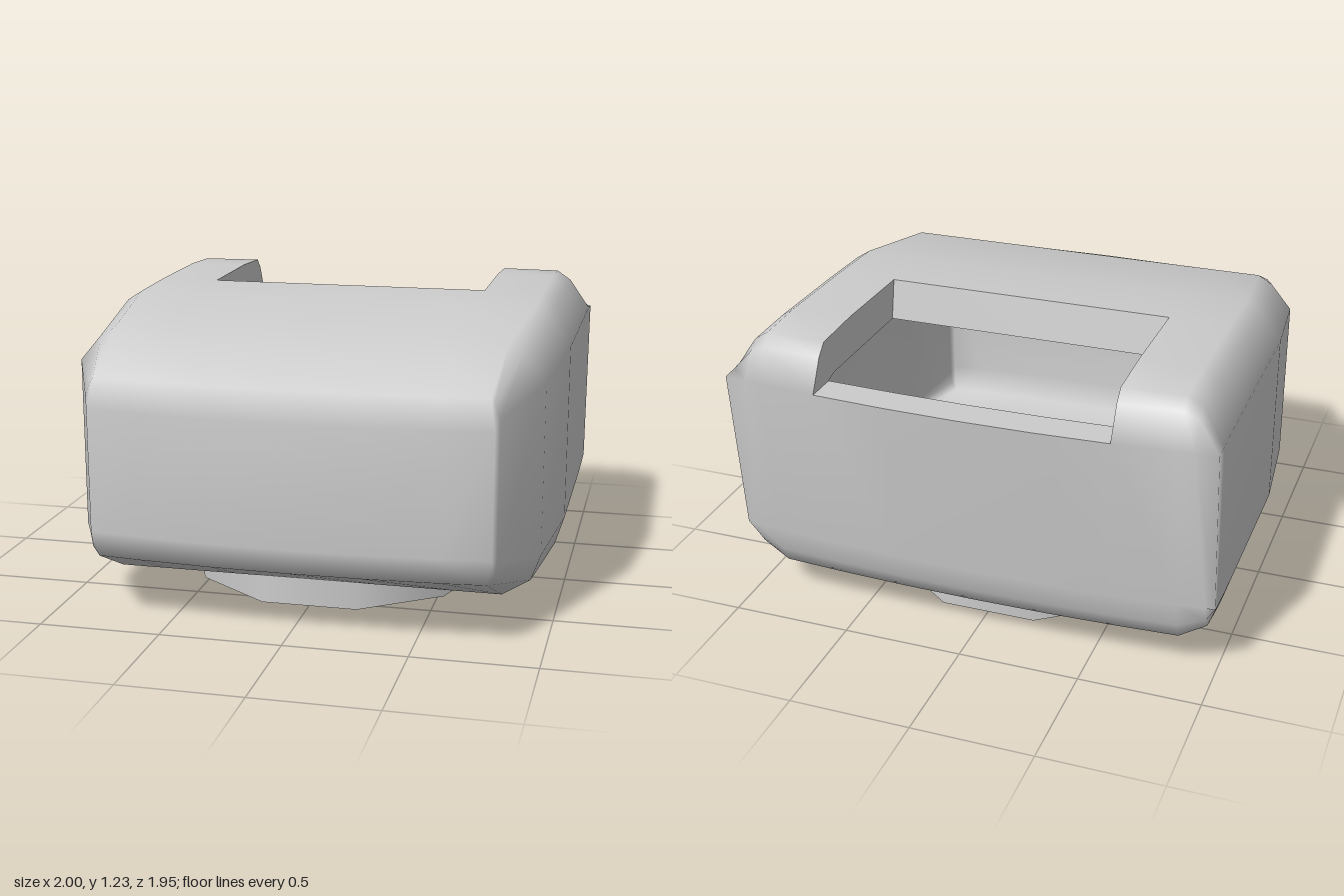
import * as THREE from 'three';
import { mergeVertices } from 'three/addons/utils/BufferGeometryUtils.js';

const N = 22; // points per cross-section loop
const CUT_ROW = 4; // section where the roof opening starts
const CUT_A = 1, CUT_B = 5; // loop points bounding the opening (x = 0.6 and -0.6)

// Cross-sections from front to back:
// z, half width, flat half width, bottom, side bottom, side top, top, end bulge, lean
const SECTIONS = [
  [0.92, 0.80, 0.80, 0.38, 0.38, 0.88, 0.88, 0.055, 0],
  [0.885, 0.815, 0.78, 0.27, 0.36, 0.92, 1.00, 0.045, 0],
  [0.58, 0.95, 0.80, 0.125, 0.30, 1.00, 1.14, 0, 0],
  [0.12, 1, 0.85, 0.12, 0.32, 1.05, 1.21, 0, 0],
  [-0.175, 1, 0.85, 0.12, 0.32, 1.05, 1.22, 0, 0],
  [-0.60, 1, 0.85, 0.12, 0.32, 1.05, 1.225, 0, 0],
  [-0.80, 1, 0.85, 0.16, 0.33, 1.05, 1.215, -0.04, -0.01],
  [-0.83, 1, 0.85, 0.23, 0.335, 1.045, 1.17, -0.05, -0.02],
  [-0.85, 1, 0.85, 0.34, 0.34, 1.04, 1.04, -0.055, -0.07],
];

// One loop, counter-clockwise seen from the front, starting at the top on +x
function sectionLoop([z, hw, tx, yb, ysb, yst, yt, bulge, lean]) {
  const cols = [tx, 0.6, 0.3, 0, -0.3, -0.6, -tx];
  const topMid = [tx + 0.4 * (hw - tx), yst + 0.76 * (yt - yst)];
  const lowMid = [tx + 0.75 * (hw - tx), yb + 0.4 * (ysb - yb)];
  const pts = [
    ...cols.map((x) => [x, yt]),
    [-topMid[0], topMid[1]], [-hw, yst], [-hw, ysb], [-lowMid[0], lowMid[1]],
    ...cols.map((x) => [-x, yb]),
    lowMid, [hw, ysb], [hw, yst], topMid,
  ];
  return pts.map(([x, y]) => new THREE.Vector3(
    x, y, z + bulge * (1 - (x / hw) ** 2) + lean * (y - 0.34) / 0.7));
}

// Inner wall point belonging to an outer one
function inset(p) {
  const ax = Math.abs(p.x);
  const x = ax <= 0.6 ? p.x : Math.sign(p.x) * (0.6 + (ax - 0.6) * 0.625);
  const z = p.z * (p.z < 0 ? 0.785 : 0.9) - 0.07;
  return new THREE.Vector3(x, THREE.MathUtils.clamp(p.y, 0.27, 1.055), z);
}

// Closed shell through the loops, leaving out the roof opening
function shellGeometry(loops, inward) {
  const index = [];
  const quad = (a, b, c, d) => index.push(...(inward ? [a, c, b, a, d, c] : [a, b, c, a, c, d]));
  const last = loops.length - 1;
  for (let i = 0; i < last; i++) {
    for (let j = 0; j < N; j++) {
      if (i >= CUT_ROW && j >= CUT_A && j < CUT_B) continue;
      const k = (j + 1) % N;
      quad(i * N + j, (i + 1) * N + j, (i + 1) * N + k, i * N + k);
    }
  }
  // front and back faces
  for (let k = 0; k < 10; k++) {
    const t = (20 + k) % N, t2 = (21 + k) % N, b = 19 - k, b2 = 18 - k;
    const o = last * N;
    quad(t, t2, b2, b);
    quad(o + t, o + b, o + b2, o + t2);
  }
  const geo = new THREE.BufferGeometry().setFromPoints(loops.flat());
  geo.setIndex(index);
  const welded = mergeVertices(geo, 1e-4);
  welded.computeVertexNormals();
  return welded;
}

// Edge of the opening, joining the outer and inner shells
function rimGeometry(outer, inner) {
  const last = outer.length - 1;
  const path = [];
  for (let j = CUT_A; j < CUT_B; j++) path.push([CUT_ROW, j]);
  for (let i = CUT_ROW; i < last; i++) path.push([i, CUT_B]);
  for (let j = CUT_B; j > CUT_A; j--) path.push([last, j]);
  for (let i = last; i > CUT_ROW; i--) path.push([i, CUT_A]);
  const pts = [];
  path.forEach(([i, j], n) => {
    const [i2, j2] = path[(n + 1) % path.length];
    const a = outer[i][j], b = outer[i2][j2], c = inner[i2][j2], d = inner[i][j];
    pts.push(a, b, c, a, c, d);
  });
  const geo = new THREE.BufferGeometry().setFromPoints(pts);
  geo.computeVertexNormals();
  return geo;
}

export function createModel() {
  const model = new THREE.Group();
  model.name = 'hollowHousing';
  const grey = new THREE.MeshStandardMaterial({ color: 0xcccccc });
  const rimGrey = new THREE.MeshStandardMaterial({
    color: 0xcccccc, flatShading: true, side: THREE.DoubleSide });
  const add = (name, geo, mat) => {
    const mesh = new THREE.Mesh(geo, mat);
    mesh.name = name;
    model.add(mesh);
    return mesh;
  };

  // Hollow body with an opening at the back of the roof
  const outer = SECTIONS.map(sectionLoop);
  const inner = outer.map((loop) => loop.map(inset));
  add('outerShell', shellGeometry(outer, false), grey);
  add('innerShell', shellGeometry(inner, true), grey);
  add('openingRim', rimGeometry(outer, inner), rimGrey);

  // Ten-sided foot
  const foot = new THREE.CylinderGeometry(0.65, 0.65, 0.18, 10, 1, false, Math.PI / 2);
  add('foot', foot, grey).position.set(0, 0.09, -0.06);
  return model;
}
